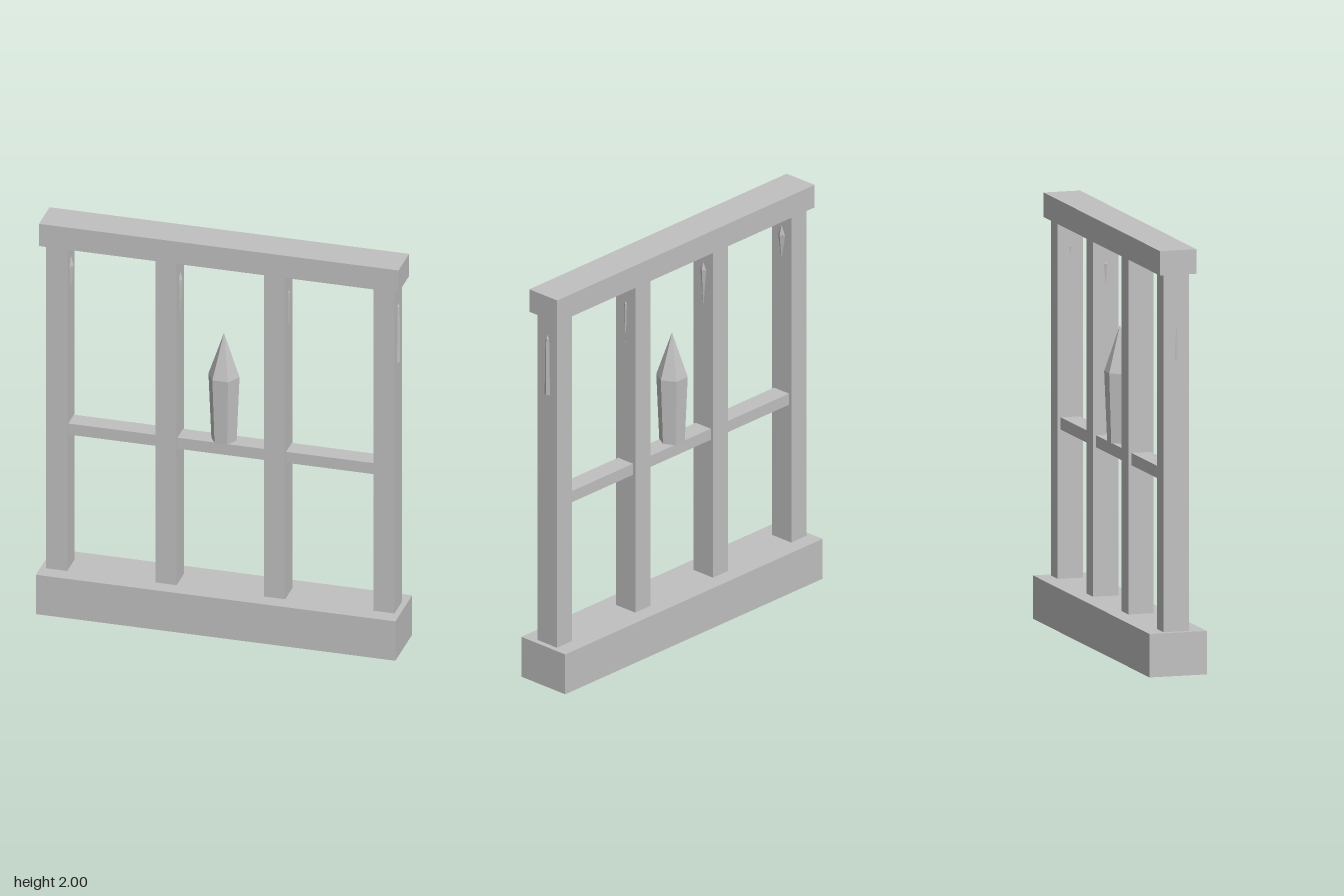
import * as THREE from 'three';

export function createModel() {
  const group = new THREE.Group();
  const stone = new THREE.MeshStandardMaterial({ color: 0xc0c0c0, flatShading: true });
  stone.name = 'grey stone';

  const add = (name, geometry, x, y) => {
    const mesh = new THREE.Mesh(geometry, stone);
    mesh.name = name;
    mesh.position.set(x, y, 0);
    group.add(mesh);
    return mesh;
  };

  // Block standing on height y0 and reaching y1
  const block = (name, x, width, y0, y1, depth) =>
    add(name, new THREE.BoxGeometry(width, y1 - y0, depth), x, (y0 + y1) / 2);

  // Six-sided pointed crystal: narrow foot, wider shoulder, sharp tip
  const crystal = (name, x, y, foot, shoulder, shoulderY, tipY) => {
    const profile = [[0, 0], [foot, 0], [shoulder, shoulderY], [0, tipY]]
      .map(([r, h]) => new THREE.Vector2(r, h));
    return add(name, new THREE.LatheGeometry(profile, 6, Math.PI / 2), x, y);
  };

  // Frame
  block('base', 0, 1.734, 0, 0.204, 0.28);
  block('topBeam', 0, 1.734, 1.885, 2, 0.178);
  block('crossbar', 0, 1.48, 0.905, 0.962, 0.095);

  // Posts, each with a slightly leaning crystal set into its upper end
  const posts = [
    { x: -0.789, footX: -0.799, shoulderX: -0.781 },
    { x: -0.262, footX: -0.262, shoulderX: -0.256 },
    { x: 0.262, footX: 0.266, shoulderX: 0.262 },
    { x: 0.789, footX: 0.804, shoulderX: 0.791 },
  ];
  posts.forEach(({ x, footX, shoulderX }, i) => {
    block(`post${i + 1}`, x, 0.102, 0.204, 1.885, 0.124);
    const inset = crystal(`postCrystal${i + 1}`, footX, 1.48, 0.046, 0.056, 0.285, 0.46);
    inset.rotation.z = -Math.atan2(shoulderX - footX, 0.285);
  });

  // Large crystal standing on the crossbar
  crystal('centreCrystal', 0, 0.962, 0.061, 0.075, 0.33, 0.55);

  return group;
}
